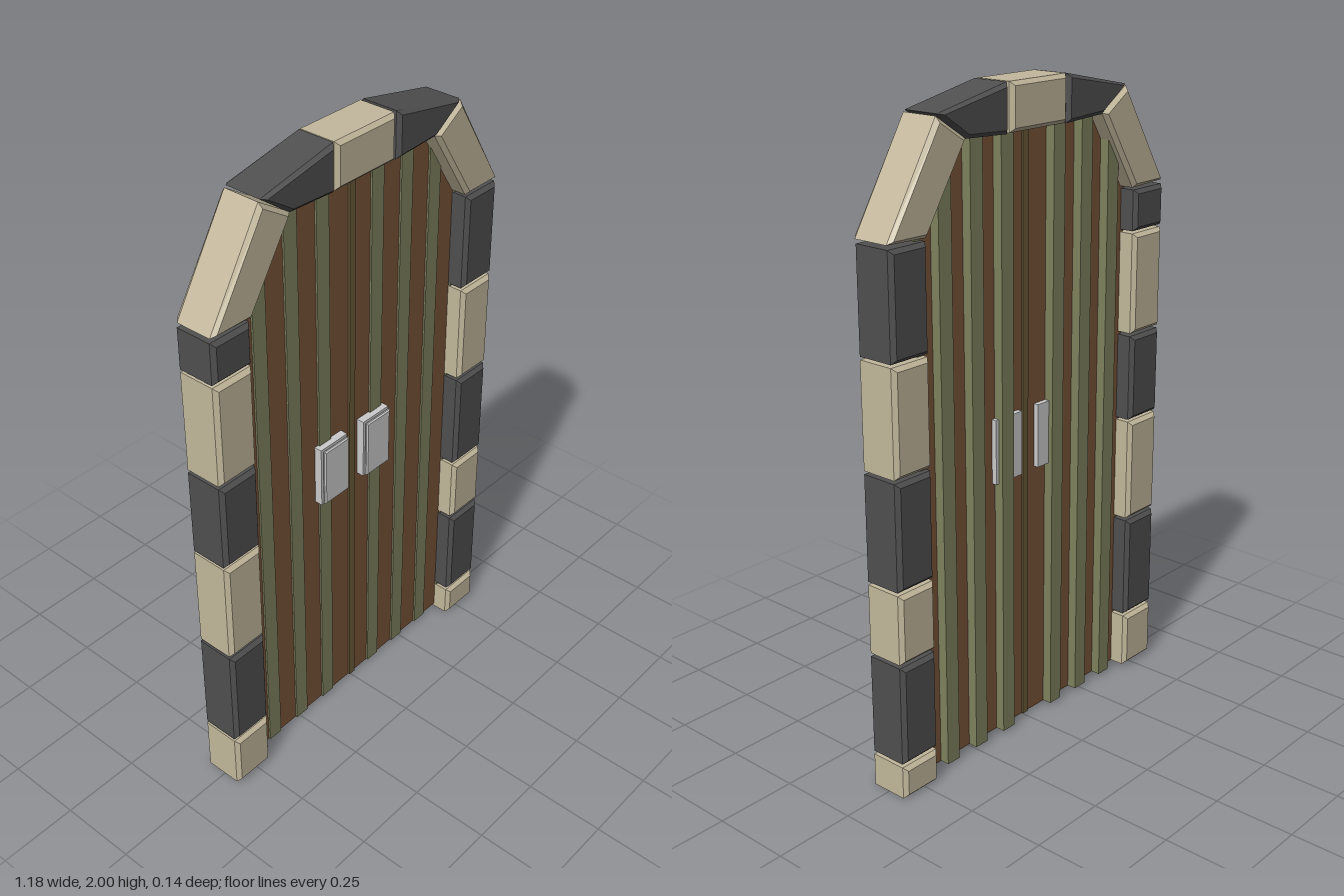
import * as THREE from 'three';

const mat = (color) => new THREE.MeshStandardMaterial({ color, flatShading: true });

export function createModel() {
  const model = new THREE.Group();
  const tan = mat(0xc4b99d), dark = mat(0x505050), brown = mat(0x7a5439);
  const green = mat(0x80825e), olive = mat(0x6b5a38), grey = mat(0xcccccc);

  // Prism from a front outline between two depths, with optional chamfer
  function slab(name, points, z0, z1, material, bevel = 0) {
    const shape = new THREE.Shape(points.map(([x, y]) => new THREE.Vector2(x, y)));
    const geo = new THREE.ExtrudeGeometry(shape, {
      depth: z1 - z0 - 2 * bevel, bevelEnabled: bevel > 0, bevelSegments: 1,
      bevelSize: bevel, bevelThickness: bevel, bevelOffset: -bevel,
    });
    geo.translate(0, 0, z0 + bevel);
    const mesh = new THREE.Mesh(geo, material);
    mesh.name = name;
    model.add(mesh);
  }
  const rect = (x0, x1, y0, y1) => [[x0, y0], [x1, y0], [x1, y1], [x0, y1]];
  const stone = (name, points, material) => slab(name, points, -0.07, 0.07, material, 0.012);

  // Side pillars: alternating pale and dark stones
  const pillars = {
    right: [-0.59, -0.45, [[0.01, 0.19], [0.2, 0.535], [0.545, 0.877], [0.885, 1.16], [1.17, 1.487], [1.495, 1.622]]],
    left: [0.447, 0.585, [[0, 0.102], [0.113, 0.422], [0.433, 0.647], [0.657, 0.98], [0.99, 1.307], [1.316, 1.622]]],
  };
  for (const [side, [x0, x1, rows]] of Object.entries(pillars)) {
    rows.forEach(([y0, y1], i) =>
      stone(`${side}PillarStone${i + 1}`, rect(x0, x1, y0, y1), i % 2 ? dark : tan));
  }

  // Arch stones, mirrored around the keystone
  for (const [side, s] of [['right', -1], ['left', 1]]) {
    const flip = (pts) => pts.map(([x, y]) => [s * x, y]);
    stone(`${side}ArchLowerStone`, flip([[0.588, 1.635], [0.445, 1.63], [0.29, 1.87], [0.4, 1.94]]), tan);
    stone(`${side}ArchUpperStone`, flip([[0.395, 1.945], [0.125, 2], [0.125, 1.86], [0.29, 1.868]]), dark);
  }
  stone('keystone', rect(-0.122, 0.115, 1.862, 2), tan);

  // Height of the door's top edge at x
  const topAt = (x) => Math.min(1.885, 1.65 + Math.max(0, 0.465 - Math.abs(x)) * 1.53);

  // Door leaves
  for (const [side, s] of [['right', -1], ['left', 1]]) {
    slab(`${side}DoorLeaf`, [[0.004, 0.01], [0.465, 0.01], [0.465, 1.65], [0.311, 1.885], [0.004, 1.885]]
      .map(([x, y]) => [s * x, y]), -0.012, 0.01, brown);
  }

  // Upright battens, standing out mostly at the back
  for (const x of [-0.37, -0.245, -0.12, 0.105, 0.23, 0.355]) {
    const a = x - 0.025, b = x + 0.025;
    slab('batten', [[a, 0.01], [b, 0.01], [b, topAt(b)], [a, topAt(a)]], -0.042, 0.016, green);
  }
  slab('edgeBatten', rect(0.449, 0.47, 0.01, 1.63), -0.042, 0.016, green);
  slab('centreStrip', rect(-0.012, 0.012, 0.01, 1.88), -0.018, 0.016, olive);

  // Handle plates, passing through to the back
  for (const [side, x] of [['right', -0.102], ['left', 0.085]]) {
    slab(`${side}HandlePlate`, rect(x - 0.057, x + 0.057, 0.835, 1.035), -0.028, 0.035, grey);
    slab(`${side}HandleFace`, rect(x - 0.052, x + 0.052, 0.84, 1.03), 0.035, 0.047, grey, 0.004);
  }
  return model;
}
